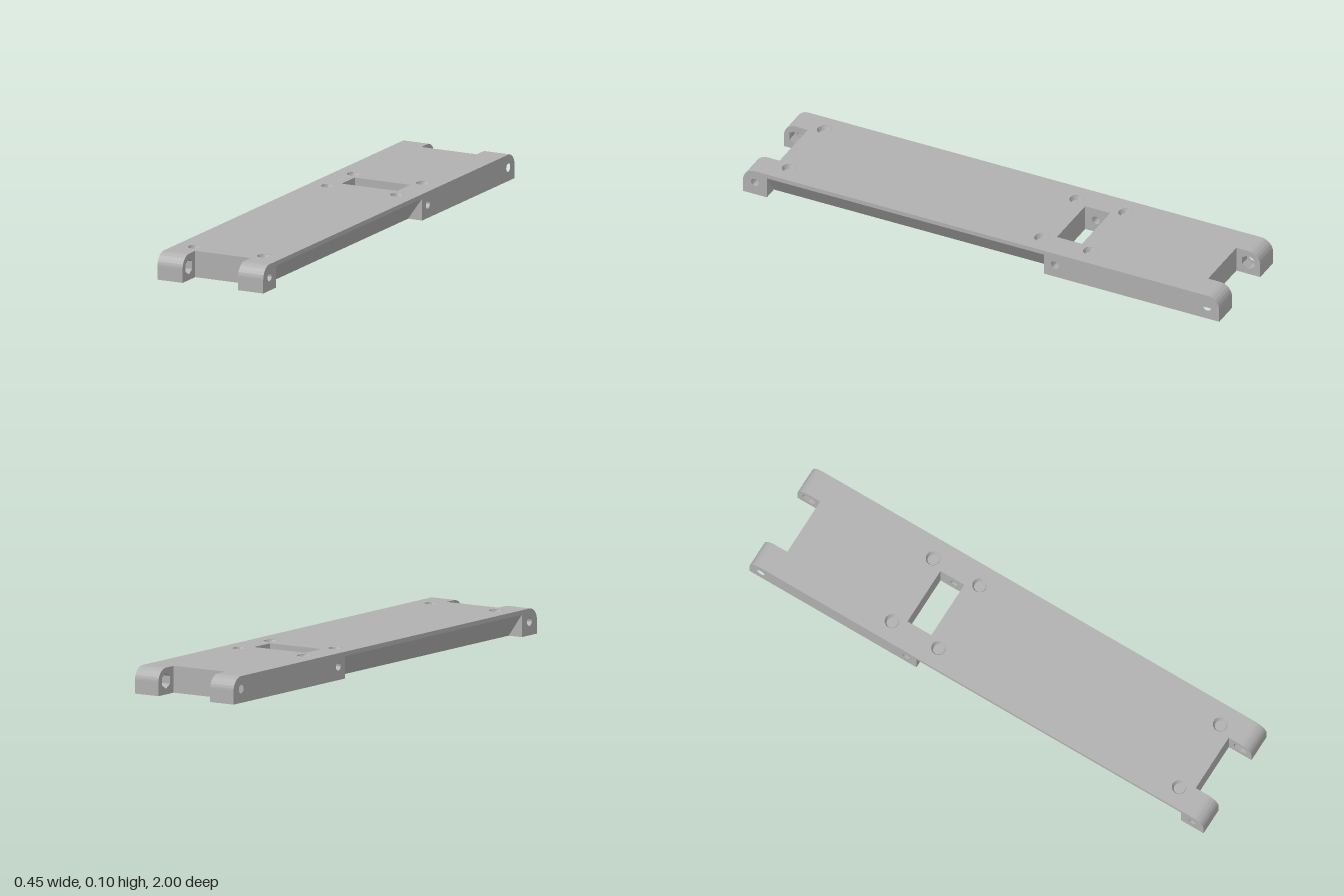
import * as THREE from 'three';
import { toCreasedNormals } from 'three/addons/utils/BufferGeometryUtils.js';

const W = 0.225, IN = 0.118, H = 0.102, DECK = 0.085;
const WIN_BACK = -0.37, WIN_FRONT = -0.265, NOTCH = 0.9;

export function createModel() {
  const group = new THREE.Group();
  const grey = new THREE.MeshStandardMaterial({ color: 0xb0b0b0 });
  grey.name = 'plain grey';

  const add = (name, geo) => {
    const mesh = new THREE.Mesh(toCreasedNormals(geo, 0.6), grey);
    mesh.name = name;
    group.add(mesh);
  };
  const extrude = (shape, depth) =>
    new THREE.ExtrudeGeometry(shape, { depth, bevelEnabled: false, curveSegments: 16 });
  const polygon = (pts) => new THREE.Shape(pts.map(([x, y]) => new THREE.Vector2(x, y)));
  const rect = (x0, x1, y0, y1) => polygon([[x0, y0], [x1, y0], [x1, y1], [x0, y1]]);
  const round = (x, y, r) => new THREE.Path().absarc(x, y, r, 0, Math.PI * 2, true);
  const hex = (x, y, r) => {
    const pts = [];
    for (let i = 0; i < 6; i++) {
      const a = (i + 0.5) * Math.PI / 3;
      pts.push(new THREE.Vector2(x + r * Math.cos(a), y + r * Math.sin(a)));
    }
    return new THREE.Path(pts);
  };
  // Extrudes a (z, y) outline sideways from x0 to x1
  const sideways = (shape, x0, x1) =>
    extrude(shape, x1 - x0).rotateY(-Math.PI / 2).translate(x1, 0, 0);

  // Top skin with the window and six shallow screw recesses
  const skin = rect(-W, W, -NOTCH, NOTCH);
  skin.holes.push(rect(-IN, IN, WIN_BACK, WIN_FRONT));
  const recesses = [];
  for (const x of [-0.147, 0.147])
    for (const z of [-0.42, -0.215, 0.845]) recesses.push([x, z]);
  for (const [x, z] of recesses) skin.holes.push(round(x, z, 0.028));
  add('topSkin', extrude(skin, H - DECK).rotateX(Math.PI / 2).translate(0, H, 0));

  // Tapered collar inside each recess
  for (const [x, z] of recesses) {
    const collar = new THREE.LatheGeometry(
      [new THREE.Vector2(0.021, DECK), new THREE.Vector2(0.028, H - 0.001)], 32);
    // Turn the faces inward
    const idx = collar.index.array;
    for (let i = 0; i < idx.length; i += 3) [idx[i], idx[i + 1]] = [idx[i + 1], idx[i]];
    collar.computeVertexNormals();
    add('screwRecess', collar.translate(x, 0, z));
  }

  // Long front body with undercut sides
  const foot = W - 0.06;
  const body = polygon([[-foot, 0], [foot, 0], [W, DECK], [-W, DECK]]);
  add('frontBody', extrude(body, NOTCH - WIN_FRONT).translate(0, 0, WIN_FRONT));

  // Square back body
  const backLength = WIN_BACK + NOTCH;
  add('backBody', new THREE.BoxGeometry(2 * W, DECK, backLength)
    .translate(0, DECK / 2, -NOTCH + backLength / 2));

  for (const side of [-1, 1]) {
    const name = side > 0 ? 'left' : 'right';
    const span = (a, b) => side > 0 ? [a, b] : [-b, -a];

    // Rail beside the window, drilled through
    const rail = rect(WIN_BACK, WIN_FRONT, 0, DECK);
    rail.holes.push(round(-0.31, 0.052, 0.016));
    add(name + 'WindowRail', sideways(rail, ...span(IN, W)));

    // Rounded end lugs: nut pocket inside, pin hole outside
    for (const end of [-1, 1]) {
      const outline = () => {
        const s = new THREE.Shape();
        const r = 0.05;
        s.moveTo(end * NOTCH, 0);
        s.lineTo(end, 0);
        s.lineTo(end, H - r);
        s.absarc(end * (1 - r), H - r, r, end > 0 ? 0 : Math.PI, Math.PI / 2, end < 0);
        s.lineTo(end * NOTCH, H);
        s.closePath();
        return s;
      };
      const label = name + (end > 0 ? 'Front' : 'Back');
      const inner = outline(), outer = outline();
      inner.holes.push(hex(end * 0.95, 0.052, 0.03));
      outer.holes.push(round(end * 0.95, 0.052, 0.016));
      const split = IN + 0.04;
      add(label + 'LugInner', sideways(inner, ...span(IN, split)));
      add(label + 'LugOuter', sideways(outer, ...span(split, W)));
    }
  }
  return group;
}
